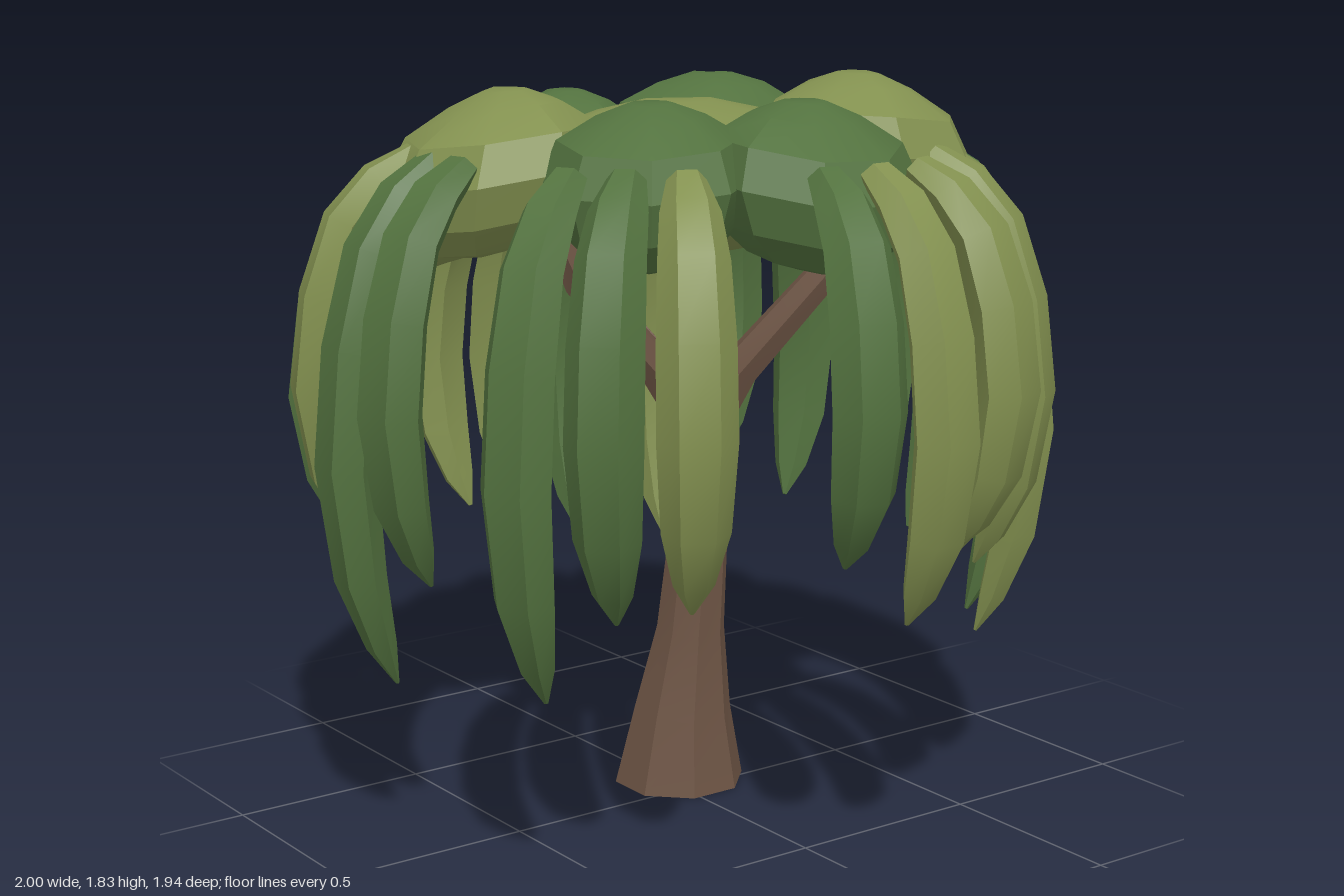
import * as THREE from 'three';
import { toCreasedNormals } from 'three/addons/utils/BufferGeometryUtils.js';

const V = (x, y, z) => new THREE.Vector3(x, y, z);
const UP = V(0, 1, 0);

// Skin over rings of points that run counter-clockwise about the travel direction, with caps
function loft(rings, crease) {
  const n = rings[0].length, pos = [], idx = [];
  const centre = (r) => r.reduce((s, p) => s.add(p), V(0, 0, 0)).divideScalar(n);
  rings.forEach((r) => r.forEach((p) => pos.push(p.x, p.y, p.z)));
  const last = (rings.length - 1) * n, a0 = rings.length * n;
  for (const r of [rings[0], rings[rings.length - 1]]) pos.push(...centre(r).toArray());
  for (let j = 0; j < n; j++) {
    const k = (j + 1) % n;
    for (let i = 0; i < last; i += n) idx.push(i + j, i + k, i + n + k, i + j, i + n + k, i + n + j);
    idx.push(a0, k, j, a0 + 1, last + j, last + k);
  }
  const g = new THREE.BufferGeometry();
  g.setAttribute('position', new THREE.Float32BufferAttribute(pos, 3));
  g.setIndex(idx);
  return toCreasedNormals(g, crease);
}

// Ring of n points around c, spanned by u and v
function ring(c, u, v, n, turn = 0) {
  return Array.from({ length: n }, (_, j) => {
    const a = ((j + turn) / n) * Math.PI * 2;
    return c.clone().addScaledVector(u, Math.cos(a)).addScaledVector(v, Math.sin(a));
  });
}

// Tapered woody limb through [x, y, z, radius] stations
function limb(st, n) {
  const p = st.map((s) => V(s[0], s[1], s[2]));
  return loft(p.map((c, i) => {
    const t = i === 0 ? UP.clone() : p[Math.min(i + 1, p.length - 1)].clone().sub(p[i - 1]).normalize();
    const u = V(1, 0, 0).addScaledVector(t, -t.x).normalize();
    const v = t.clone().cross(u);
    return ring(c, u.multiplyScalar(st[i][3]), v.multiplyScalar(st[i][3]), n, 0.5);
  }), 0.5);
}

// Squashed leaf dome that droops away from the trunk; profile is [radius, height] in fractions
const DOME = [[0.25, 0], [0.6, 0.08], [0.88, 0.28], [1, 0.55], [0.86, 0.79], [0.5, 0.93], [0.2, 1]];
function dome(x, z, long, wide, top, droop) {
  const out = V(x, 0, z).normalize();
  const side = UP.clone().cross(out);
  return loft(DOME.map(([r, f]) => {
    const c = out.clone().multiplyScalar(0.25 * droop * (0.55 - f));
    const pts = ring(c, out.clone().multiplyScalar(long * r), side.clone().multiplyScalar(wide * r), 8, 0.3);
    return pts.map((p) => p.add(V(x, top - 0.37 * (1 - f) - droop * Math.max(0, p.dot(out)), z)));
  }), 0.5);
}

// Hanging frond: [fraction of drop, offset from the widest reach, half width]
const FROND = [
  [0, -0.25, 0.045], [0.06, -0.16, 0.068], [0.16, -0.08, 0.08], [0.34, -0.025, 0.088],
  [0.56, 0, 0.09], [0.78, -0.03, 0.078], [0.92, -0.08, 0.047], [1, -0.12, 0.006],
];
function frond(end, out, yTop, yTip) {
  const side = UP.clone().cross(out);
  const p = FROND.map(([t, o]) => V(end.x, yTop + (yTip - yTop) * t, end.z).addScaledVector(out, o - 0.057));
  return loft(p.map((c, i) => {
    const t = p[Math.min(i + 1, p.length - 1)].clone().sub(p[Math.max(i - 1, 0)]).normalize();
    const w = FROND[i][2];
    return ring(c, side.clone().multiplyScalar(w), t.cross(side).multiplyScalar(w * 0.75), 6);
  }), 0.55);
}

// Leaf clusters: shades are the dome followed by its three fronds (d dark, l light);
// angle is where the fronds hang, in degrees from the front, start and tips are their heights
const CLUSTERS = [
  { name: 'front', shades: 'lldd', x: -0.1, z: 0.47, wide: 0.29, top: 1.81, angle: -5, reach: 0.97, start: 1.66, tips: [0.69, 0.42, 0.7] },
  { name: 'frontRight', shades: 'dddl', x: 0.28, z: 0.3, wide: 0.25, top: 1.8, angle: 43, reach: 0.97, start: 1.66, tips: [0.48, 0.68, 0.71] },
  { name: 'right', shades: 'ddll', x: 0.46, z: -0.02, wide: 0.26, top: 1.8, angle: 92, reach: 1, start: 1.66, tips: [0.8, 0.64, 0.79] },
  { name: 'backRight', shades: 'llld', x: 0.24, z: -0.37, wide: 0.28, top: 1.83, angle: 140, reach: 0.91, start: 1.65, tips: [0.66, 0.44, 0.45] },
  { name: 'back', shades: 'lldd', x: -0.06, z: -0.55, wide: 0.26, top: 1.74, angle: 184, reach: 0.97, start: 1.49, tips: [0.5, 0.56, 0.56] },
  { name: 'backLeft', shades: 'dddl', x: -0.42, z: -0.4, wide: 0.28, top: 1.78, angle: 226, reach: 1.01, start: 1.57, tips: [0.58, 0.7, 0.46] },
  { name: 'left', shades: 'ddll', x: -0.62, z: -0.04, wide: 0.22, top: 1.74, angle: 267, reach: 1, start: 1.52, tips: [0.49, 0.56, 0.6] },
  { name: 'frontLeft', shades: 'llld', x: -0.49, z: 0.32, wide: 0.22, top: 1.72, angle: 310, reach: 0.98, start: 1.55, tips: [0.57, 0.5, 0.63] },
];

export function createModel() {
  const mat = (name, color) => Object.assign(new THREE.MeshStandardMaterial({ color }), { name });
  const bark = mat('bark', 0x6e5545);
  const leaf = { l: mat('light leaf', 0x839150), d: mat('dark leaf', 0x53723f) };

  const tree = new THREE.Group();
  tree.name = 'willowTree';
  const add = (parent, name, geometry, material) => {
    const m = new THREE.Mesh(geometry, material);
    m.name = name;
    parent.add(m);
  };

  // Leaning trunk with a flared foot
  add(tree, 'trunk', limb([
    [-0.083, 0, -0.045, 0.168], [-0.067, 0.2, -0.045, 0.126], [-0.043, 0.42, -0.053, 0.088],
    [-0.01, 0.75, -0.06, 0.073], [0, 1, -0.05, 0.075], [0.01, 1.2, -0.03, 0.055], [0.01, 1.5, -0.02, 0.035],
  ], 8), bark);

  // Boughs fanning up into the crown
  for (const [x, z] of [[-0.46, 0.15], [0.3, 0.18], [0.28, -0.36], [-0.32, -0.36], [-0.08, 0.36]]) {
    add(tree, 'bough', limb([
      [0, 0.9, -0.05, 0.05], [x * 0.25, 1.1, z * 0.25 - 0.03, 0.052], [x * 0.75, 1.34, z * 0.75, 0.043], [x, 1.54, z, 0.03],
    ], 6), bark);
  }

  // Crown centre and the ring of drooping clusters; the farther out, the more they droop
  add(tree, 'crownCentre', dome(-0.08, -0.04, 0.48, 0.43, 1.76, 0.1), leaf.l);
  for (const { name, shades, x, z, wide, top, angle, reach, start, tips } of CLUSTERS) {
    const g = new THREE.Group();
    g.name = name + 'Cluster';
    tree.add(g);
    add(g, 'leafDome', dome(x, z, 0.27, wide, top, 0.1 + 1.5 * (Math.hypot(x, z) - 0.4)), leaf[shades[0]]);
    tips.forEach((tip, i) => {
      const a = THREE.MathUtils.degToRad(angle + (i - 1) * 13);
      const end = V(Math.sin(a), 0, Math.cos(a)).multiplyScalar(reach);
      const out = end.clone().addScaledVector(V(x, 0, z), -0.5).normalize();
      add(g, 'frond', frond(end, out, start, tip), leaf[shades[i + 1]]);
    });
  }
  return tree;
}
